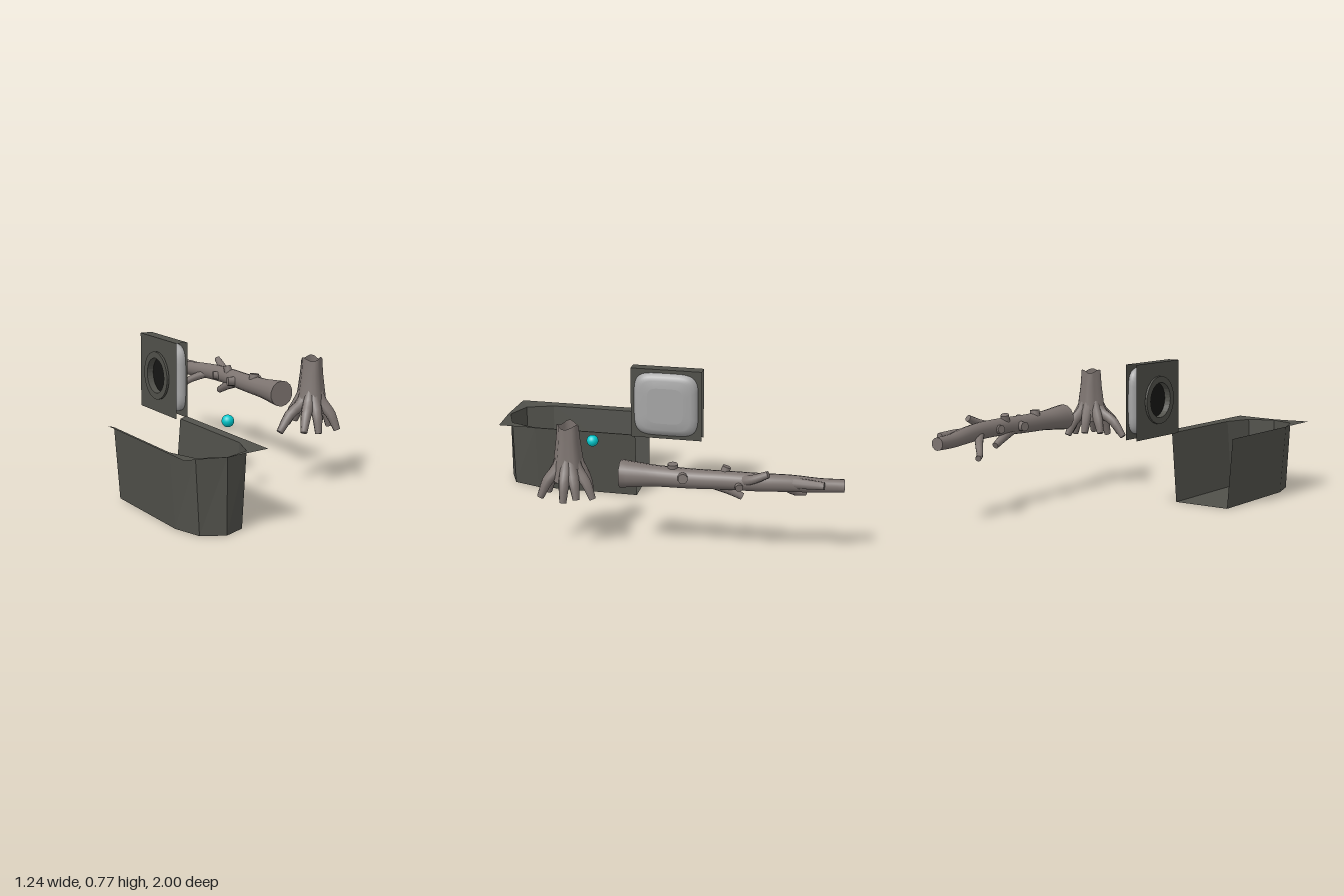
import * as THREE from 'three';

const material = (name, color, side = THREE.FrontSide) => {
  const m = new THREE.MeshStandardMaterial({ color, side });
  m.name = name;
  return m;
};
const V = (x, y, z) => new THREE.Vector3(x, y, z);

// Skin a list of rings (counter-clockwise about the direction of travel), optionally capped.
function loft(rings, caps = true) {
  const n = rings[0].length, pos = [], idx = [];
  const push = (p) => pos.push(p.x, p.y, p.z) / 3 - 1;
  rings.forEach((r) => r.forEach(push));
  for (let i = 0; i < rings.length - 1; i++) {
    for (let j = 0; j < n; j++) {
      const k = (j + 1) % n;
      const a = i * n + j, b = i * n + k, c = a + n, d = b + n;
      idx.push(a, b, d, a, d, c);
    }
  }
  if (caps) {
    [rings[0], rings[rings.length - 1]].forEach((ring, end) => {
      const middle = V(0, 0, 0);
      ring.forEach((p) => middle.addScaledVector(p, 1 / n));
      const m = push(middle);
      const first = m + 1;
      ring.forEach(push);
      for (let j = 0; j < n; j++) {
        const a = first + j, b = first + (j + 1) % n;
        if (end) idx.push(m, a, b); else idx.push(m, b, a);
      }
    });
  }
  const g = new THREE.BufferGeometry();
  g.setAttribute('position', new THREE.Float32BufferAttribute(pos, 3));
  g.setIndex(idx);
  g.computeVertexNormals();
  return g;
}

// Tapered round limb through points [x, y, z, radius].
function limb(points, sides = 10, steps = 8) {
  const curve = new THREE.CatmullRomCurve3(points.map((p) => V(p[0], p[1], p[2])));
  const frames = curve.computeFrenetFrames(steps);
  const rings = [];
  for (let i = 0; i <= steps; i++) {
    const t = curve.getUtoTmapping(i / steps);
    const s = t * (points.length - 1), k = Math.min(Math.floor(s), points.length - 2);
    const r = THREE.MathUtils.lerp(points[k][3], points[k + 1][3], s - k);
    rings.push(Array.from({ length: sides }, (_, j) => {
      const a = j / sides * Math.PI * 2;
      return curve.getPoint(t)
        .addScaledVector(frames.normals[i], r * Math.cos(a))
        .addScaledVector(frames.binormals[i], r * Math.sin(a));
    }));
  }
  return loft(rings);
}

// Surface from separate quads, one flat normal each.
function quads(list) {
  const pos = list.flatMap(([a, b, c, d]) => [a, b, c, a, c, d].flatMap((p) => [p.x, p.y, p.z]));
  const g = new THREE.BufferGeometry();
  g.setAttribute('position', new THREE.Float32BufferAttribute(pos, 3));
  g.computeVertexNormals();
  return g;
}

export function createModel() {
  const model = new THREE.Group();
  const shell = material('dark olive grey', 0x50504a, THREE.DoubleSide);
  const black = material('near black', 0x161614);
  const padGrey = material('light grey', 0xa6a6a6);
  const wood = material('grey brown wood', 0x7d7470);
  const bark = material('grey brown open bark', 0x7d7470, THREE.DoubleSide);
  const cyan = material('cyan', 0x00c8cc);

  const add = (name, geometry, mat, parent = model) => {
    const mesh = new THREE.Mesh(geometry, mat);
    mesh.name = name;
    parent.add(mesh);
    return mesh;
  };
  const group = (name) => {
    const g = new THREE.Group();
    g.name = name;
    model.add(g);
    return g;
  };

  // Trough: U-shaped plan, open at the top and back
  const trough = group('trough');
  const plan = [[-1, 0.2], [-1, 0.78], [-0.72, 0.93], [0, 0.985], [0.72, 0.93], [1, 0.78], [1, 0.2]];
  const low = plan.map(([x, z]) => V(-0.395 + x * 0.16, 0, z));
  const high = plan.map(([x, z]) => V(-0.395 + x * 0.19, 0.375, z));
  const outer = [[-1, 0.2], [-1, 0.78], [-1, 0.98], [0, 0.997], [1, 0.98], [1, 0.78], [1, 0.2]]
    .map(([x, z]) => V(-0.395 + x * 0.224, x ? 0.385 : 0.378, z));
  const strips = (a, b) => a.slice(1).map((p, i) => [a[i], p, b[i + 1], b[i]]);
  add('troughWall', quads(strips(low, high)), shell, trough);
  add('troughRim', quads(strips(high, outer)), shell, trough);
  const floor = add('troughFloor', new THREE.ShapeGeometry(
    new THREE.Shape(low.map((p) => new THREE.Vector2(p.x, p.z)))), shell, trough);
  floor.rotation.x = Math.PI / 2;

  // Panel housing: back plate, framed front and top sheet, with open ends
  const panel = group('panel');
  const cy = 0.575, cz = 0.018, half = 0.197;
  const square = () => new THREE.Shape([[-1, -1], [1, -1], [1, 1], [-1, 1]]
    .map(([x, y]) => new THREE.Vector2(x * half, y * half)));
  const rounded = (t, size) => {
    const c = Math.cos(t), s = Math.sin(t), e = 0.42;
    return [Math.sign(c) * Math.abs(c) ** e * size, Math.sign(s) * Math.abs(s) ** e * size];
  };
  const angles = Array.from({ length: 40 }, (_, i) => i / 40 * Math.PI * 2);
  const backPlate = square();
  backPlate.holes.push(new THREE.Path().absarc(0, 0, 0.095, 0, Math.PI * 2, true));
  const frame = square();
  frame.holes.push(new THREE.Path(angles.map((t) => new THREE.Vector2(...rounded(t, 0.176)))));
  [['backPlate', backPlate, -0.235], ['frontFrame', frame, -0.17]].forEach(([name, shape, x]) => {
    const m = add(name, new THREE.ShapeGeometry(shape, 24), shell, panel);
    m.rotation.y = Math.PI / 2;
    m.position.set(x, cy, cz);
  });
  const top = add('topSheet', new THREE.PlaneGeometry(0.065, half * 2), shell, panel);
  top.rotation.x = -Math.PI / 2;
  top.position.set(-0.2025, cy + half, cz);

  // Cushioned pad filling the front frame
  const padRings = [[-0.215, 0.15], [-0.205, 0.17], [-0.19, 0.18], [-0.168, 0.178],
    [-0.15, 0.16], [-0.142, 0.14], [-0.137, 0.1]]
    .map(([x, size]) => angles.map((t) => {
      const [y, z] = rounded(t, size);
      return V(x, cy + y, cz + z);
    }));
  add('pad', loft(padRings), padGrey, panel);

  // Round flanged port on the back plate
  const port = add('portRing', new THREE.LatheGeometry([
    [0.092, -0.03], [0.108, -0.03], [0.108, 0.005], [0.126, 0.005], [0.126, 0.017], [0.092, 0.017], [0.092, -0.03],
  ].map(([r, y]) => new THREE.Vector2(r, y)), 32), shell, panel);
  port.geometry = port.geometry.toNonIndexed();
  port.geometry.computeVertexNormals();
  port.rotation.z = Math.PI / 2;
  port.position.set(-0.235, cy, cz);
  const hole = add('portOpening', new THREE.CircleGeometry(0.093, 32), black, panel);
  hole.rotation.y = -Math.PI / 2;
  hole.position.set(-0.217, cy, cz);

  // Floating ball
  add('ball', new THREE.SphereGeometry(0.032, 24, 16), cyan).position.set(-0.04, 0.385, 0.4);

  // Hollow stump with fluted trunk and splayed roots
  const stump = group('stump');
  const sx = 0.48, sz = 0.385;
  const trunkRings = [[0.375, 0.088], [0.43, 0.078], [0.5, 0.069], [0.58, 0.059], [0.66, 0.053]]
    .map(([y, r], i) => Array.from({ length: 20 }, (_, j) => {
      const a = j / 20 * Math.PI * 2;
      const f = r * (1 + 0.08 * Math.cos(5 * a + 0.6));
      const ragged = i === 4 ? 0.01 * Math.sin(3 * a) : 0;
      return V(sx + f * Math.sin(a), y + ragged, sz + f * Math.cos(a));
    }));
  add('trunk', loft(trunkRings, false), bark, stump);
  [[0.27, 0.29, 0.41], [0.36, 0.295, 0.5], [0.45, 0.28, 0.505], [0.56, 0.29, 0.515], [0.6, 0.285, 0.385],
    [0.585, 0.3, 0.32], [0.545, 0.295, 0.245], [0.45, 0.31, 0.28], [0.37, 0.31, 0.325]]
    .forEach(([x, y, z]) => {
      const dx = x - sx, dz = z - sz, d = Math.hypot(dx, dz);
      const at = (r, h, w) => [sx + dx / d * r, h, sz + dz / d * r, w];
      add('root', limb([at(0.04, 0.5, 0.022), at(0.062, 0.43, 0.032),
        at(0.062 + (d - 0.062) * 0.55, 0.375, 0.028), at(d, y, 0.018)], 8), wood, stump);
    });

  // Fallen log lying along z
  const log = group('log');
  add('logTrunk', limb([[0.475, 0.42, 0.115, 0.072], [0.47, 0.42, -0.06, 0.054], [0.47, 0.42, -0.25, 0.05],
    [0.468, 0.425, -0.42, 0.047], [0.46, 0.425, -0.58, 0.046], [0.43, 0.42, -0.74, 0.043],
    [0.402, 0.41, -0.88, 0.036], [0.385, 0.41, -0.998, 0.033]], 14, 28), wood, log);

  // Branches
  [
    [[0.43, 0.41, -0.64, 0.025], [0.37, 0.37, -0.71, 0.02], [0.325, 0.33, -0.755, 0.017], [0.295, 0.32, -0.8, 0.015]],
    [[0.47, 0.43, -0.49, 0.03], [0.5, 0.45, -0.55, 0.024], [0.512, 0.49, -0.635, 0.018]],
    [[0.46, 0.4, -0.36, 0.03], [0.45, 0.37, -0.43, 0.024], [0.445, 0.335, -0.5, 0.018]],
    [[0.43, 0.425, -0.7, 0.03], [0.45, 0.43, -0.8, 0.026], [0.458, 0.43, -0.905, 0.02]],
  ].forEach((points) => add('branch', limb(points), wood, log));

  // Cut knots
  [
    [[0.46, 0.43, -0.15], [0.465, 0.488, -0.15], 0.026],
    [[0.47, 0.43, -0.2], [0.538, 0.44, -0.215], 0.025],
    [[0.47, 0.42, -0.3], [0.392, 0.42, -0.32], 0.025],
    [[0.455, 0.43, -0.4], [0.448, 0.49, -0.42], 0.022],
    [[0.465, 0.42, -0.48], [0.4, 0.425, -0.5], 0.022],
    [[0.47, 0.42, -0.48], [0.523, 0.41, -0.495], 0.02],
  ].forEach(([a, b, r]) => add('knot', limb([[...a, r * 1.2], [...b, r]], 10, 2), wood, log));

  return model;
}
